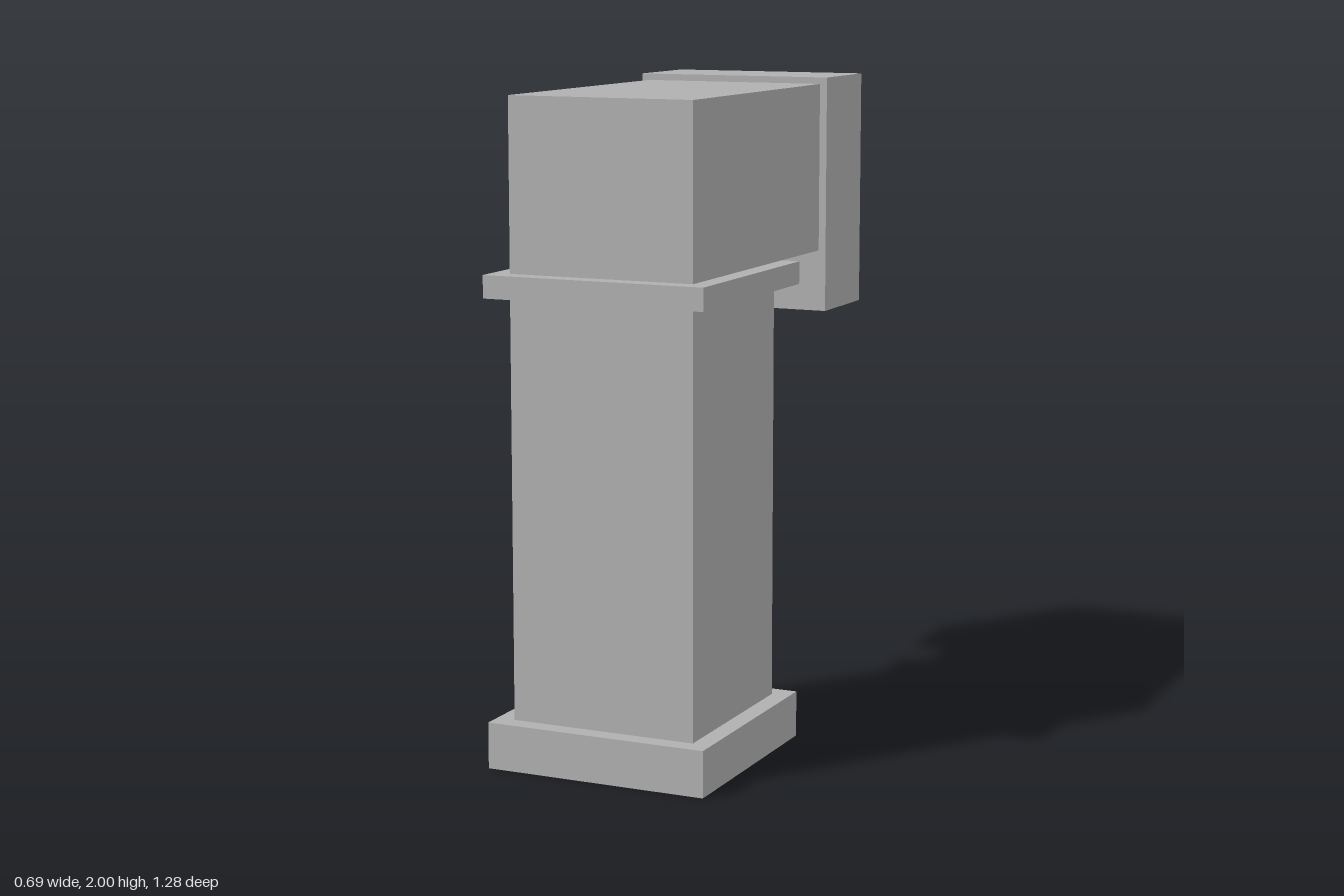
import * as THREE from 'three';

export function createModel() {
  const model = new THREE.Group();
  model.name = 'ventilationShaft';
  const grey = new THREE.MeshStandardMaterial({ color: 0xb0b0b0 });
  grey.name = 'grey';

  // Box centred on x, given its width and its y and z limits
  function block(name, width, y0, y1, z0, z1) {
    const mesh = new THREE.Mesh(new THREE.BoxGeometry(width, y1 - y0, z1 - z0), grey);
    mesh.name = name;
    mesh.position.set(0, (y0 + y1) / 2, (z0 + z1) / 2);
    model.add(mesh);
  }

  // Upright shaft between a plinth and a thin collar
  block('base', 0.695, 0, 0.14, -0.055, 0.64);
  block('column', 0.58, 0.14, 1.4, 0.003, 0.583);
  block('collar', 0.695, 1.4, 1.468, -0.055, 0.64);

  // Horizontal arm with a deeper block at its back end
  block('arm', 0.58, 1.468, 1.98, -0.35, 0.583);
  block('endBlock', 0.626, 1.28, 2, -0.64, -0.35);

  return model;
}
